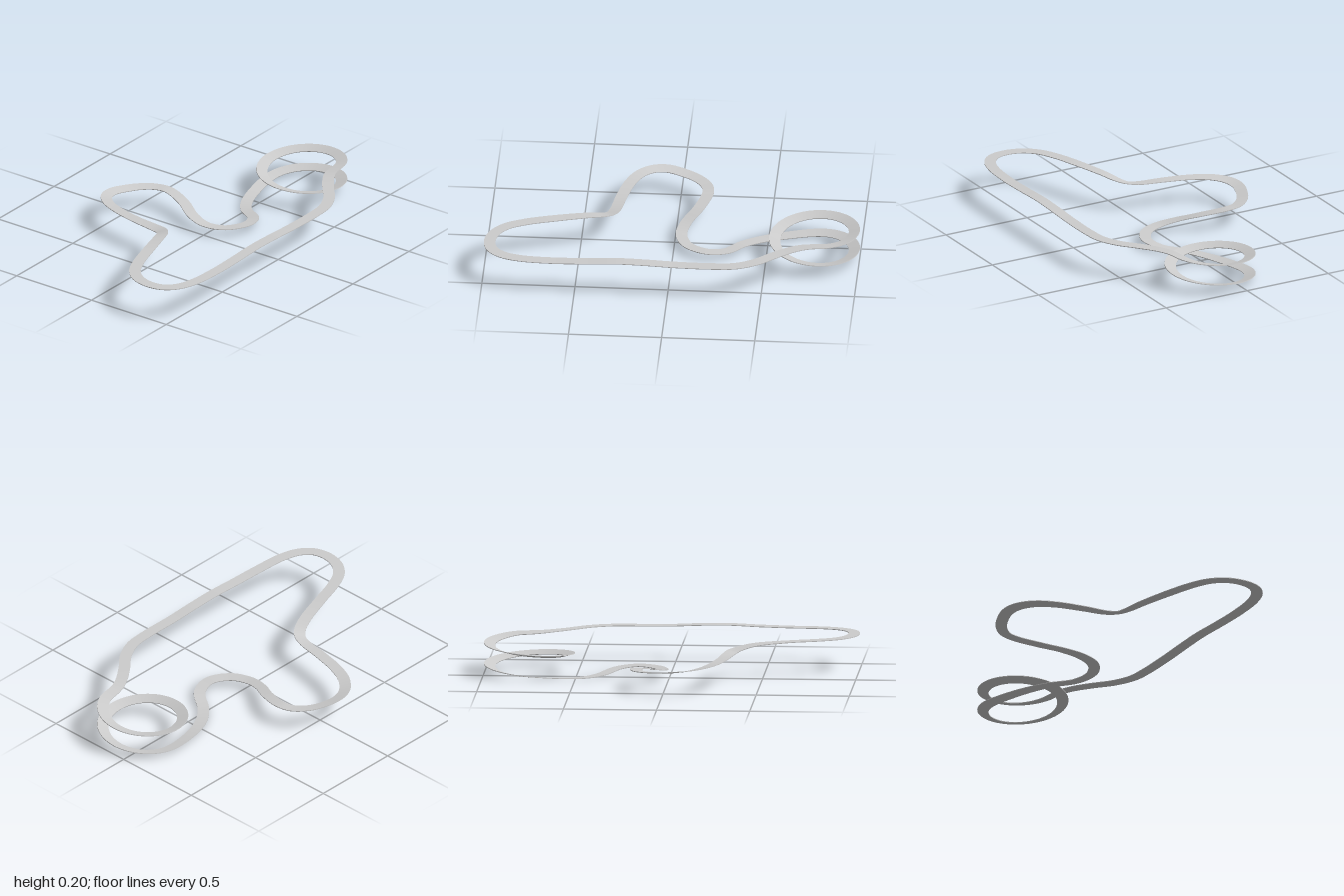
import * as THREE from 'three';
import { toCreasedNormals } from 'three/addons/utils/BufferGeometryUtils.js';

const WIDTH = 0.062, THICK = 0.004, STEPS = 1000;

// Centreline stations: x, y, z, bank angle (positive leans into a right turn)
const straightAndHairpin = [
  [0.317, 0.189, -0.71, 0.08], [0.347, 0.19, -0.652, 0.03], [0.41, 0.19, -0.565, 0],
  [0.49, 0.19, -0.468, 0], [0.538, 0.19, -0.365, 0], [0.55, 0.19, -0.25, 0],
  [0.55, 0.191, -0.05, 0], [0.55, 0.198, 0.12, 0], [0.55, 0.201, 0.27, 0],
  [0.55, 0.194, 0.45, 0], [0.549, 0.19, 0.62, 0], [0.537, 0.19, 0.79, 0],
  [0.505, 0.19, 0.89, 0], [0.45, 0.19, 0.948, 0], [0.37, 0.19, 0.967, 0],
  [0.28, 0.19, 0.947, 0], [0.207, 0.19, 0.888, 0], [0.155, 0.19, 0.79, 0],
  [0.104, 0.189, 0.635, 0],
];
const infield = [
  [0.047, 0.181, 0.46, -0.08], [0.012, 0.167, 0.383, -0.15], [-0.025, 0.156, 0.343, -0.18],
  [-0.085, 0.149, 0.322, -0.1], [-0.22, 0.147, 0.3, 0], [-0.37, 0.146, 0.264, 0.06],
  [-0.473, 0.143, 0.216, 0.13], [-0.538, 0.137, 0.147, 0.19], [-0.554, 0.131, 0.07, 0.21],
  [-0.524, 0.121, -0.03, 0.17], [-0.487, 0.117, -0.09, 0.12], [-0.428, 0.114, -0.14, 0.08],
  [-0.35, 0.112, -0.155, 0.03], [-0.22, 0.093, -0.115, 0], [-0.11, 0.066, -0.055, 0],
  [-0.01, 0.05, -0.036, -0.05], [0.09, 0.045, -0.075, -0.07], [0.15, 0.043, -0.18, -0.07],
  [0.123, 0.033, -0.28, -0.05], [0.01, 0.015, -0.37, 0], [-0.055, 0.008, -0.46, 0.04],
  [-0.1, 0.011, -0.59, 0.12],
];
// One and a half climbing turns
const spiral = [];
for (let k = 0; k <= 24; k++) {
  const a = k * Math.PI / 8;
  const bank = 0.27 * Math.min(1, 0.7 + k * 0.15, 0.5 + (24 - k) * 0.13);
  spiral.push([0.09 - 0.214 * Math.cos(a), Math.min(0.022 + 0.0071 * k, 0.188),
    -0.757 - 0.214 * Math.sin(a), bank]);
}

// Sweeps a thin rectangular section along the closed, banked centreline
function trackGeometry(stations) {
  const n = stations.length;
  const curve = new THREE.CatmullRomCurve3(
    stations.map(([x, y, z]) => new THREE.Vector3(x, y, z)), true, 'centripetal');
  const up = new THREE.Vector3(0, 1, 0);
  const positions = [], index = [];
  for (let i = 0; i < STEPS; i++) {
    const t = i / STEPS;
    const p = curve.getPoint(t), tangent = curve.getTangent(t);
    const s = Math.floor(t * n), f = t * n - s;
    const bank = THREE.MathUtils.lerp(stations[s][3], stations[(s + 1) % n][3], f);
    const flat = new THREE.Vector3().crossVectors(tangent, up).normalize();
    const right = flat.clone().multiplyScalar(Math.cos(bank)).addScaledVector(up, -Math.sin(bank));
    const normal = new THREE.Vector3().crossVectors(right, tangent).normalize();
    for (const [a, b] of [[-1, 1], [1, 1], [1, -1], [-1, -1]]) {
      const v = p.clone().addScaledVector(right, a * WIDTH / 2).addScaledVector(normal, b * THICK / 2);
      positions.push(v.x, v.y, v.z);
    }
    const j = (i + 1) % STEPS;
    for (let c = 0; c < 4; c++) {
      const d = (c + 1) % 4;
      const a0 = i * 4 + c, a1 = i * 4 + d, b0 = j * 4 + c, b1 = j * 4 + d;
      index.push(a0, a1, b1, a0, b1, b0);
    }
  }
  const g = new THREE.BufferGeometry();
  g.setAttribute('position', new THREE.Float32BufferAttribute(positions, 3));
  g.setIndex(index);
  return toCreasedNormals(g, 0.7);
}

export function createModel() {
  const group = new THREE.Group();
  group.name = 'raceCircuit';
  const track = new THREE.Mesh(
    trackGeometry([...straightAndHairpin, ...infield, ...spiral]),
    new THREE.MeshStandardMaterial({ color: 0xcccccc, side: THREE.DoubleSide }));
  track.name = 'trackRibbon';
  group.add(track);
  // Rest the lowest point on the ground
  track.position.y = -new THREE.Box3().setFromObject(track).min.y;
  return group;
}
